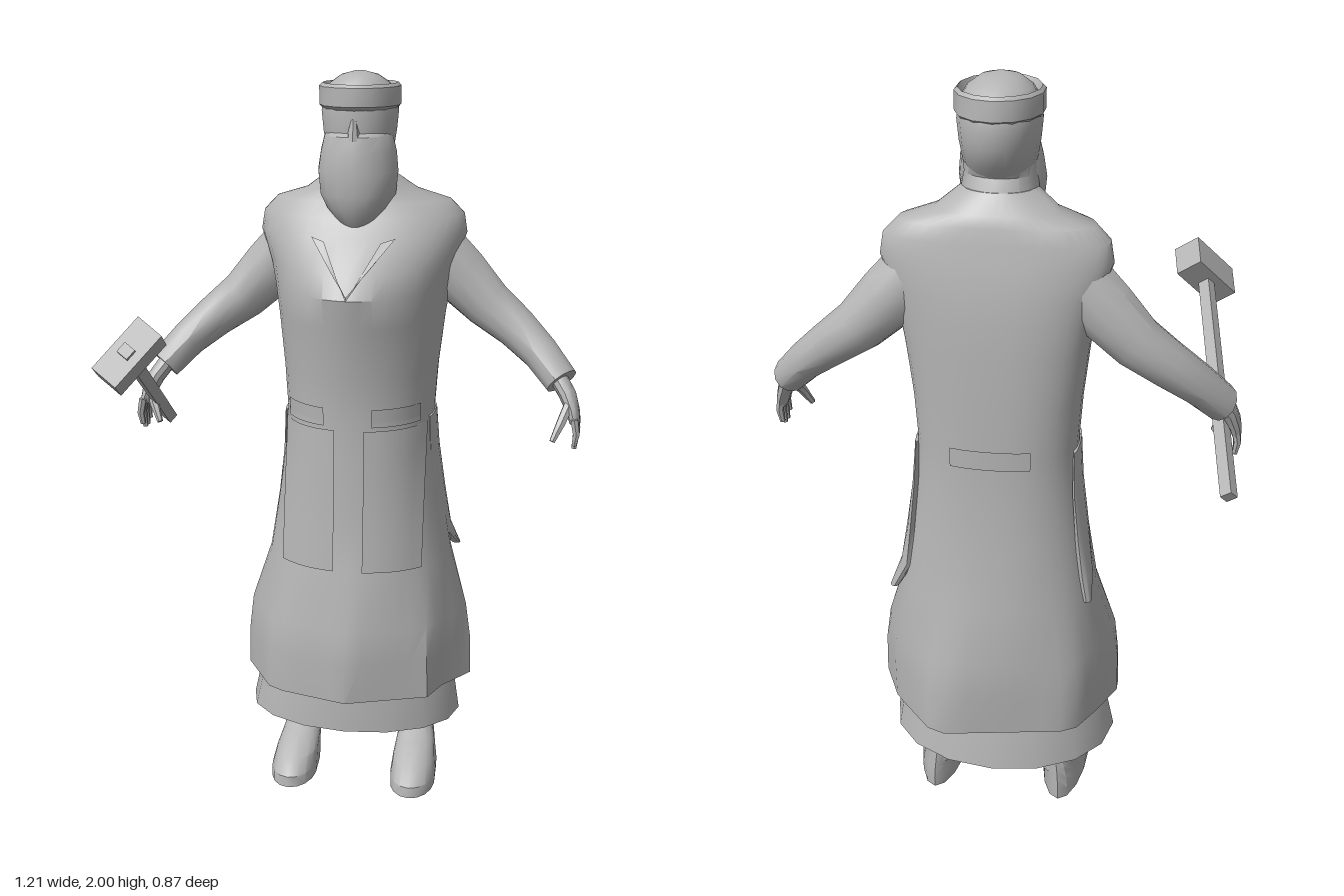
import * as THREE from 'three';
import { toCreasedNormals } from 'three/addons/utils/BufferGeometryUtils.js';

const clay = new THREE.MeshStandardMaterial({ color: 0xb4b4b4, side: THREE.DoubleSide });
clay.name = 'clay grey';
const V = (x, y, z) => new THREE.Vector3(x, y, z);
const spow = (v, e) => Math.sign(v) * Math.pow(Math.abs(v), e);

// Skin closed or open rows of points; cap = close both ends of closed rings
function skin(rows, closed = true, cap = true) {
  const n = rows[0].length, pos = [];
  const tri = (...p) => p.forEach(q => pos.push(q.x, q.y, q.z));
  for (let i = 0; i < rows.length - 1; i++) {
    for (let j = 0; j < (closed ? n : n - 1); j++) {
      const k = (j + 1) % n, a = rows[i], b = rows[i + 1];
      tri(a[j], a[k], b[k]);
      tri(a[j], b[k], b[j]);
    }
  }
  if (closed && cap) {
    [rows[0], rows[rows.length - 1]].forEach((r, end) => {
      const c = r.reduce((s, p) => s.add(p), V(0, 0, 0)).divideScalar(n);
      r.forEach((p, j) => (end ? tri(c, p, r[(j + 1) % n]) : tri(c, r[(j + 1) % n], p)));
    });
  }
  const g = new THREE.BufferGeometry();
  g.setAttribute('position', new THREE.Float32BufferAttribute(pos, 3));
  return toCreasedNormals(g, 0.6);
}

// Horizontal ring: [y, half width, front z, middle z, back z, centre x, front and back squareness]
function ring([y, hw, zf, zm, zb, cx = 0, ef = 1, eb = 1], n) {
  return Array.from({ length: n }, (_, j) => {
    const a = j / n * Math.PI * 2, s = Math.sin(a), c = Math.cos(a), e = c > 0 ? ef : eb;
    return V(cx + hw * spow(s, e), y, zm + (c > 0 ? zf - zm : zm - zb) * spow(c, e));
  });
}
const stack = (table, n, cap = true) => skin(table.map(t => ring(t, n)), true, cap);

// Limb along centres [x, y, z, radius across, radius toward z]
function limb(pts, n = 12) {
  const c = pts.map(p => V(p[0], p[1], p[2]));
  return skin(pts.map((p, i) => {
    const t = c[Math.min(i + 1, c.length - 1)].clone().sub(c[Math.max(i - 1, 0)]).normalize();
    const v = V(0, 0, 1).addScaledVector(t, -t.z).normalize();
    const u = t.clone().cross(v);
    return Array.from({ length: n }, (_, j) => {
      const a = j / n * Math.PI * 2;
      return c[i].clone().addScaledVector(u, Math.sin(a) * p[3]).addScaledVector(v, Math.cos(a) * p[4]);
    });
  }));
}

const gown = [
  [0.31, 0.325, 0.09, -0.17, -0.43, 0, 1.08, 0.95], [0.42, 0.312, 0.085, -0.17, -0.42, 0, 1.06, 0.95],
  [0.52, 0.295, 0.07, -0.18, -0.41, 0, 1, 0.95], [0.68, 0.258, 0.035, -0.2, -0.385, 0, 0.95, 0.9],
  [0.85, 0.23, 0.02, -0.2, -0.365, 0, 0.92, 0.88], [1.0, 0.21, 0.013, -0.2, -0.35, 0, 0.92, 0.85],
  [1.1, 0.204, 0.01, -0.2, -0.348, 0, 0.95, 0.82], [1.22, 0.212, 0.018, -0.2, -0.345, 0, 1, 0.8],
  [1.36, 0.228, 0.045, -0.21, -0.34, 0, 1.08, 0.8], [1.44, 0.24, 0.06, -0.22, -0.335, 0, 1.12, 0.8],
  [1.5, 0.253, 0.025, -0.225, -0.328, 0, 1.12, 0.8], [1.58, 0.28, -0.04, -0.23, -0.315, 0, 1.05, 0.8],
  [1.63, 0.272, -0.085, -0.23, -0.302, 0, 1, 0.8], [1.668, 0.235, -0.1, -0.225, -0.295, 0, 1, 0.8],
  [1.695, 0.15, -0.11, -0.21, -0.285, 0, 1, 0.9], [1.74, 0.09, -0.11, -0.18, -0.25],
];

// Uneven folded outline of the hem, as x, z around z = -0.17
const hem = [[0, 0.088], [0.23, 0.005], [0.245, -0.06], [0.325, -0.17], [0.27, -0.29], [0.14, -0.437],
  [-0.22, -0.37], [-0.27, -0.28], [-0.33, -0.15], [-0.22, 0.03]].map(([x, z]) => [x, z + 0.17]);

// Hem point in the direction of p, where a ray from the middle meets an outline edge
function toHem(p) {
  const dx = p.x, dz = p.z + 0.17;
  for (let i = 0; i < hem.length; i++) {
    const [ax, az] = hem[i], [bx, bz] = hem[(i + 1) % hem.length];
    const ex = bx - ax, ez = bz - az, d = dx * ez - dz * ex;
    const t = (ax * ez - az * ex) / d, u = (ax * dz - az * dx) / d;
    if (t > 0 && u >= -1e-6 && u <= 1 + 1e-6) return V(dx * t, p.y, dz * t - 0.17);
  }
  return p.clone();
}

// Point on the gown's front or back at x, y, pushed slightly outward
function onGown(x, y, side, push = 0.006) {
  const i = gown.findIndex(r => r[0] > y) - 1;
  const a = gown[i], b = gown[i + 1], f = (y - a[0]) / (b[0] - a[0]);
  const [, hw, zf, zm, zb, , ef, eb] = a.map((v, k) => v + (b[k] - v) * f);
  const e = side > 0 ? ef : eb;
  const s = Math.pow(Math.min(1, Math.abs(x) / hw), 1 / e);
  const c = Math.pow(Math.sqrt(1 - s * s), e);
  return V(x, y, side > 0 ? zm + (zf - zm) * c + push : zm - (zm - zb) * c - push);
}
function patch(x0, x1, y0, y1, side) {
  const rows = [];
  for (let i = 0; i <= 6; i++) {
    rows.push(Array.from({ length: 7 }, (_, j) =>
      onGown(x0 + (x1 - x0) * j / 6, y0 + (y1 - y0) * i / 6, side)));
  }
  return skin(rows, false);
}

export function createModel() {
  const model = new THREE.Group();
  const add = (name, geo, parent = model) => {
    const m = new THREE.Mesh(geo, clay);
    m.name = name;
    parent.add(m);
    return m;
  };

  // Clothing: the folds fade out above the hem
  const folds = [1, 0.85, 0.5];
  add('gown', skin(gown.map((t, i) => ring(t, 40).map(p =>
    i < folds.length ? p.clone().lerp(toHem(p), folds[i]) : p))));
  add('underskirt', stack([
    [0.195, 0.305, 0.035, -0.17, -0.415, -0.01, 0.97, 0.97],
    [0.33, 0.28, 0.03, -0.17, -0.39, -0.005, 1, 1]], 16));
  for (const s of [1, -1]) {
    const [a, b] = s > 0 ? [0.04, 0.195] : [-0.195, -0.04];
    add('apronPanel', patch(a, b, 0.685, 1.08, 1));
    add('beltTab', patch(s > 0 ? 0.06 : -0.18, s > 0 ? 0.18 : -0.07, 1.09, 1.14, 1));
  }
  add('backBeltTab', patch(-0.1, 0.1, 1.07, 1.12, -1));

  // Crossed collar folds on the chest
  for (const s of [1, -1]) {
    const rows = [0, 1, 2, 3].map(i => {
      const y = 1.44 + i * 0.045, x = s * i * 0.025;
      const r = [onGown(x, y, 1), onGown(x + s * 0.012 * i, y + 0.01, 1, 0.009)];
      return s > 0 ? r : r.reverse();
    });
    add('collarFold', skin(rows, false));
  }

  // Head, pointed beard and open-topped cap band
  add('neck', stack([[1.62, 0.11, -0.1, -0.19, -0.28], [1.7, 0.1, -0.1, -0.18, -0.265],
    [1.77, 0.088, -0.09, -0.16, -0.235], [1.82, 0.09, -0.08, -0.16, -0.26]], 20));
  add('head', stack([[1.76, 0.07, -0.07, -0.16, -0.225], [1.8, 0.088, -0.06, -0.165, -0.262],
    [1.85, 0.096, -0.058, -0.165, -0.286], [1.9, 0.101, -0.055, -0.165, -0.288],
    [1.94, 0.095, -0.06, -0.165, -0.28], [1.97, 0.077, -0.08, -0.16, -0.25],
    [1.99, 0.048, -0.105, -0.155, -0.21], [2.0, 0.01, -0.145, -0.155, -0.165]], 20));
  add('capBand', stack([[1.905, 0.097, -0.055, -0.165, -0.28], [1.915, 0.106, -0.04, -0.165, -0.29],
    [1.962, 0.106, -0.04, -0.165, -0.286], [1.97, 0.098, -0.047, -0.165, -0.278],
    [1.95, 0.088, -0.06, -0.165, -0.27]], 14, false));
  add('beard', stack([[1.597, 0.012, -0.075, -0.09, -0.105], [1.62, 0.045, -0.058, -0.1, -0.14],
    [1.655, 0.08, -0.042, -0.12, -0.18], [1.69, 0.1, -0.034, -0.13, -0.2],
    [1.75, 0.106, -0.034, -0.13, -0.2], [1.8, 0.1, -0.038, -0.14, -0.21],
    [1.84, 0.09, -0.046, -0.14, -0.21], [1.852, 0.082, -0.062, -0.14, -0.2]], 16));
  add('nose', stack([[1.83, 0.018, -0.042, -0.06, -0.08], [1.85, 0.015, -0.045, -0.06, -0.08],
    [1.885, 0.009, -0.054, -0.07, -0.08]], 8));

  // Mirrored limbs: modelled on the left, flipped for the right
  for (const s of [1, -1]) {
    const half = new THREE.Group();
    half.name = s > 0 ? 'leftSide' : 'rightSide';
    half.scale.x = s;
    model.add(half);

    add('sleeve', limb([[0.2, 1.53, -0.23, 0.08, 0.062], [0.26, 1.465, -0.235, 0.08, 0.066],
      [0.34, 1.385, -0.235, 0.068, 0.064], [0.42, 1.325, -0.222, 0.058, 0.062],
      [0.49, 1.265, -0.19, 0.05, 0.06], [0.55, 1.2, -0.15, 0.046, 0.056]], 12), half);
    add('palm', limb([[0.54, 1.21, -0.15, 0.024, 0.03], [0.568, 1.17, -0.125, 0.023, 0.033],
      [0.585, 1.13, -0.105, 0.018, 0.042], [0.592, 1.1, -0.095, 0.014, 0.042]], 10), half);
    for (let i = 0; i < 4; i++) {
      const z = -0.128 + i * 0.022, drop = [0.012, 0, 0, 0.014][i];
      add('finger', limb([[0.59, 1.12, z, 0.011, 0.012], [0.597, 1.08, z + 0.002, 0.01, 0.011],
        [0.592, 1.035 + drop, z + 0.002, 0.007, 0.007]], 6), half);
    }
    add('thumb', limb([[0.572, 1.15, -0.09, 0.014, 0.014], [0.555, 1.11, -0.055, 0.013, 0.012],
      [0.535, 1.065, -0.035, 0.008, 0.008]], 6), half);

    // Side pouch opening, its lip standing out further on the left
    const lip = s > 0 ? 0.266 : 0.242;
    add('sidePouch', stack([[0.67, 0.012, -0.27, -0.28, -0.295, lip],
      [0.74, 0.022, -0.2, -0.25, -0.295, 0.23], [0.85, 0.018, -0.155, -0.22, -0.295, 0.217],
      [0.98, 0.012, -0.135, -0.21, -0.29, 0.204], [1.09, 0.008, -0.13, -0.2, -0.27, 0.2]], 12), half);

    add('leg', limb([[0.165, 0.08, -0.225, 0.043, 0.05], [0.16, 0.15, -0.22, 0.038, 0.048],
      [0.155, 0.28, -0.22, 0.045, 0.055]], 12), half);
    add('shoe', stack([[0, 0.064, 0.038, -0.06, -0.285, 0.175], [0.03, 0.065, 0.034, -0.07, -0.285, 0.175],
      [0.065, 0.06, -0.01, -0.1, -0.282, 0.173], [0.1, 0.053, -0.095, -0.17, -0.278, 0.17],
      [0.128, 0.046, -0.155, -0.21, -0.275, 0.166], [0.165, 0.041, -0.172, -0.22, -0.272, 0.163]], 16), half);
  }

  // Hammer held in the right hand: local y runs along the handle
  const hammer = new THREE.Group();
  hammer.name = 'hammer';
  const along = V(0.11, 0.37, 0.69).normalize();
  const long = V(0.6, 0.7, -0.47);
  long.addScaledVector(along, -long.dot(along)).normalize();
  hammer.quaternion.setFromRotationMatrix(
    new THREE.Matrix4().makeBasis(long, along, long.clone().cross(along)));
  hammer.position.set(-0.482, 1.35, 0.356);
  add('hammerHandle', new THREE.BoxGeometry(0.03, 0.79, 0.032), hammer).position.y = -0.338;
  add('hammerHead', new THREE.BoxGeometry(0.168, 0.088, 0.076), hammer);
  model.add(hammer);

  return model;
}
